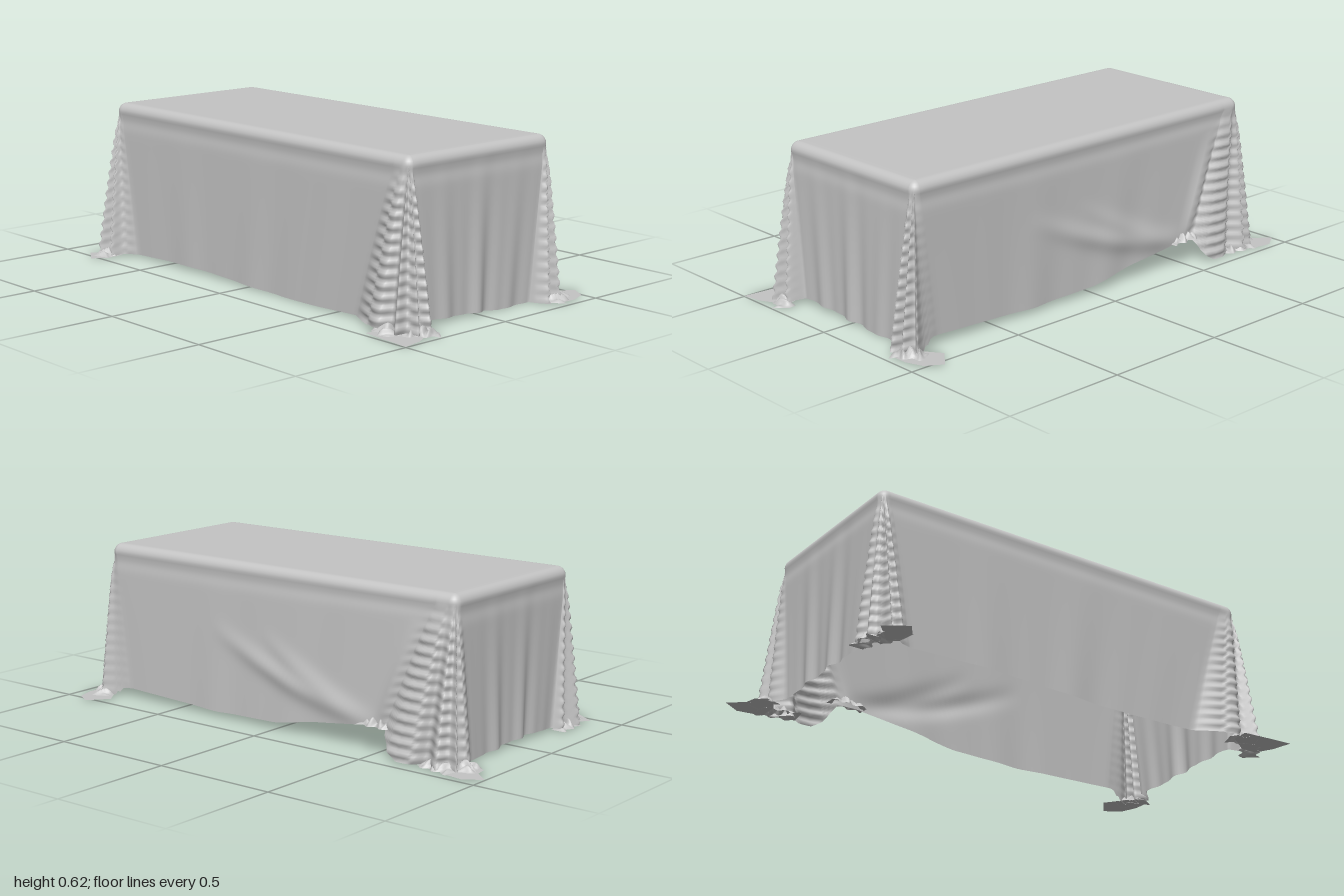
import * as THREE from 'three';

const HW = 0.367, HD = 0.85, CX = 0.003, CZ = 0.02, TOP = 0.625, R = 0.035;

// Pleat outline at each corner's foot: [outward x, outward z] offsets in path order
const corners = [
  { sx: 1, sz: 1, pts: [[-0.1, 0], [-0.09, 0.03], [-0.06, 0.07], [-0.035, 0.015], [0, 0.07], [0.015, 0.02], [0.04, 0.03], [0.015, -0.02], [0, -0.1]] },
  { sx: 1, sz: -1, pts: [[0.02, -0.3], [0.07, -0.24], [0.075, -0.14], [0.03, -0.1], [0.08, -0.03], [0.04, 0], [0.05, 0.045], [0, 0.01], [-0.03, 0.04], [-0.1, 0]] },
  { sx: -1, sz: -1, pts: [[-0.1, 0], [-0.08, 0.04], [-0.03, 0.01], [0.02, 0.05], [0.04, 0.02], [0.1, 0], [0.05, -0.03], [0.085, -0.06], [0.03, -0.08], [0, -0.14]] },
  { sx: -1, sz: 1, pts: [[0, -0.26], [0.05, -0.16], [0.075, -0.08], [0.03, -0.04], [0.08, 0.02], [0.03, 0.03], [0.02, 0.08], [-0.02, 0.03], [-0.05, 0.07], [-0.08, 0]] },
];

// Piecewise-linear lookup on ascending [key, value] pairs
function lookup(table, k) {
  if (k <= table[0][0]) return table[0][1];
  for (let i = 1; i < table.length; i++) {
    const [a, va] = table[i - 1], [b, vb] = table[i];
    if (k <= b) return va + (vb - va) * (k - a) / (b - a);
  }
  return table[table.length - 1][1];
}

// Height of the hem: the +x side is hitched up towards the back
const sideHem = [[-0.62, 0.005], [-0.58, 0.03], [-0.54, 0.095], [-0.45, 0.1], [-0.2, 0.065], [0, 0.03], [0.3, 0.022], [0.8, 0.04], [0.86, 0.01]];
const frontHem = [[-0.36, 0.01], [-0.25, 0.025], [0, 0.012], [0.1, 0.002], [0.36, 0.002]];
function hemHeight(x, z) {
  if (x > 0.33 && z < 0.82 && z > -0.8) return lookup(sideHem, z);
  if (z > 0.84) return lookup(frontHem, x);
  return 0.012 + 0.008 * Math.sin(z * 5 + x * 8);
}

// Curved drag folds running to the hitched point of the +x side
const bell = (d, w) => Math.exp(-(d * d) / (w * w));
function dragFolds(y, z) {
  let d = 0;
  [[0.3, 0.36, 1.6], [0.05, 0.36, 1.4]].forEach(([z0, y0, p], i) => {
    const s = (z0 - z) / (z0 + 0.52);
    if (s > 0 && s < 1) {
      const line = 0.11 + (y0 - 0.11) * Math.pow(1 - s, p);
      d += (0.014 - i * 0.004) * Math.sin(Math.PI * s) * bell(y - line, 0.04);
    }
  });
  const s = (y - 0.1) / 0.42;
  if (s > 0 && s < 1) {
    for (const k of [0.16, 0.24]) d += 0.014 * Math.sin(Math.PI * s) * bell(z + 0.53 + k * s, 0.03);
  }
  return d;
}

// Loop around the cloth: where each strand leaves the top edge, and where it lands
function buildStrands() {
  const strands = [];
  const cornerRuns = corners.map(({ sx, sz, pts }) => {
    const curve = new THREE.CatmullRomCurve3(pts.map(([x, z]) => new THREE.Vector3(x, 0, z)));
    return curve.getPoints((pts.length - 1) * 6).map(({ x, z }) => {
      const onFront = x < z;
      return {
        top: [sx * (HW + (onFront ? Math.min(x, 0) * 0.3 : 0)), sz * (HD + (onFront ? 0 : Math.min(z, 0) * 0.3))],
        foot: [sx * (HW + x), sz * (HD + z)],
        pleat: Math.min(1, Math.max(0, Math.max(x, z) / 0.05)),
        ripple: 0,
      };
    });
  });
  cornerRuns.forEach((run, i) => {
    strands.push(...run);
    const a = run[run.length - 1], b = cornerRuns[(i + 1) % 4][0];
    const long = i % 2 === 0, n = long ? 60 : 40;
    for (let k = 1; k < n; k++) {
      const t = k / n, mix = (p, q) => [p[0] + (q[0] - p[0]) * t, p[1] + (q[1] - p[1]) * t];
      const wave = Math.sin(t * 23 + i) + 0.6 * Math.sin(t * 41 + i * 2);
      strands.push({
        top: mix(a.top, b.top), foot: mix(a.foot, b.foot), pleat: 0,
        ripple: Math.sin(Math.PI * t) * wave * (long ? 0.003 : 0.008), side: i,
      });
    }
  });
  return strands;
}

function clothGeometry() {
  const strands = buildStrands(), n = strands.length;
  const pos = [], index = [];
  const clamp = THREE.MathUtils.clamp;
  const edge = ([x, z]) => {
    const ix = clamp(x, -HW + R, HW - R), iz = clamp(z, -HD + R, HD - R);
    const l = Math.hypot(x - ix, z - iz);
    return { ix, iz, nx: (x - ix) / l, nz: (z - iz) / l };
  };
  // flat top and its rounded rim
  for (const s of [0.5, 0.97]) {
    for (const p of strands) { const e = edge(p.top); pos.push(CX + e.ix * s, TOP, CZ + e.iz * s); }
  }
  for (let k = 0; k <= 6; k++) {
    const a = k / 6 * Math.PI / 2;
    for (const p of strands) {
      const e = edge(p.top), o = R * Math.sin(a);
      pos.push(CX + e.ix + e.nx * o, TOP - R * (1 - Math.cos(a)), CZ + e.iz + e.nz * o);
    }
  }
  // hanging skirt
  const ROWS = 64;
  for (let k = 1; k <= ROWS; k++) {
    const t = k / ROWS, spread = Math.pow(t, 0.9);
    strands.forEach((p, i) => {
      const e = edge(p.top);
      const x0 = e.ix + e.nx * R, z0 = e.iz + e.nz * R;
      const hem = hemHeight(p.foot[0] + CX, p.foot[1] + CZ);
      const y = TOP - R + (hem - TOP + R) * t;
      let out = p.ripple * t - 0.004 * bell(t - 0.06, 0.05);
      out += p.pleat * 0.005 * Math.min(1, t * 4) * Math.sin(y * 150 + Math.floor(i / 12) * 1.7);
      let x = x0 + (p.foot[0] - x0) * spread + e.nx * out;
      const z = z0 + (p.foot[1] - z0) * spread + e.nz * out;
      if (p.side === 0) x += dragFolds(y, z);
      pos.push(CX + x, y, CZ + z);
    });
  }
  const rows = pos.length / 3 / n;
  for (let r = 0; r < rows - 1; r++) {
    for (let i = 0; i < n; i++) {
      const j = (i + 1) % n, a = r * n + i, b = r * n + j, c = a + n, d = b + n;
      index.push(a, c, b, b, c, d);
    }
  }
  const centre = pos.length / 3;
  pos.push(CX, TOP, CZ);
  for (let i = 0; i < n; i++) index.push(centre, i, (i + 1) % n);
  const g = new THREE.BufferGeometry();
  g.setAttribute('position', new THREE.Float32BufferAttribute(pos, 3));
  g.setIndex(index);
  g.computeVertexNormals();
  return g;
}

// Flat corner of cloth lying on the floor
function flapGeometry(points) {
  const g = new THREE.ShapeGeometry(new THREE.Shape(points.map(([x, z]) => new THREE.Vector2(x, -z))));
  g.rotateX(-Math.PI / 2);
  return g.translate(0, 0.004, 0);
}

// Small bunched heap of cloth
function bunchGeometry(w, d, seed) {
  const g = new THREE.PlaneGeometry(w, d, 36, 10).rotateX(-Math.PI / 2);
  const p = g.attributes.position;
  for (let i = 0; i < p.count; i++) {
    const x = p.getX(i), z = p.getZ(i);
    const fade = Math.max(0, 1 - Math.pow(2 * x / w, 2)) * Math.max(0, 1 - Math.pow(2 * z / d, 2));
    const fold = 0.5 + 0.5 * Math.sin(x * 190 + 2 * Math.sin(z * 70 + seed));
    p.setXYZ(i, x, 0.003 + fade * (0.012 + 0.024 * fold), z + 0.008 * Math.sin(x * 110 + seed));
  }
  g.computeVertexNormals();
  return g;
}

export function createModel() {
  const group = new THREE.Group();
  const cloth = new THREE.MeshStandardMaterial({ color: 0xc4c4c4, side: THREE.DoubleSide });
  cloth.name = 'light grey cloth';
  const add = (name, geometry) => {
    const m = new THREE.Mesh(geometry, cloth);
    m.name = name;
    group.add(m);
    return m;
  };

  add('tablecloth', clothGeometry());

  add('frontRightFlap', flapGeometry([[-0.41, 0.79], [-0.48, 0.78], [-0.49, 0.88], [-0.5, 1], [-0.42, 0.985], [-0.35, 0.95], [-0.35, 0.88]]));
  add('frontLeftFlap', flapGeometry([[0.38, 0.86], [0.45, 0.81], [0.53, 0.875], [0.49, 0.94], [0.42, 0.965], [0.34, 0.965], [0.34, 0.9]]));
  add('backRightFlap', flapGeometry([[-0.38, -0.8], [-0.47, -0.88], [-0.53, -0.79], [-0.47, -0.75], [-0.4, -0.76]]));
  add('backLeftFlap', flapGeometry([[0.37, -0.83], [0.32, -0.86], [0.33, -0.93], [0.38, -0.94], [0.43, -1], [0.475, -0.93], [0.46, -0.83]]));

  // [x, z, turn, width, depth]
  [[-0.35, 0.92, -0.7, 0.14, 0.07], [-0.42, 0.82, 1.2, 0.12, 0.07], [0.38, 0.91, 0.6, 0.13, 0.08],
    [-0.42, -0.81, 0.3, 0.14, 0.08], [-0.33, -0.85, 0, 0.12, 0.06], [0.41, -0.79, 1.4, 0.16, 0.08],
    [0.36, -0.88, 0.3, 0.1, 0.07]].forEach(([x, z, turn, w, d], i) => {
    const m = add('bunchedHem', bunchGeometry(w, d, i * 1.3));
    m.position.set(x, 0, z);
    m.rotation.y = turn;
  });

  // gathered knot where the long side is hitched up
  const knot = add('gatheredHem', bunchGeometry(0.16, 0.05, 4));
  knot.position.set(0.39, 0.1, -0.5);
  knot.rotation.set(0, Math.PI / 2, 0);
  return group;
}
